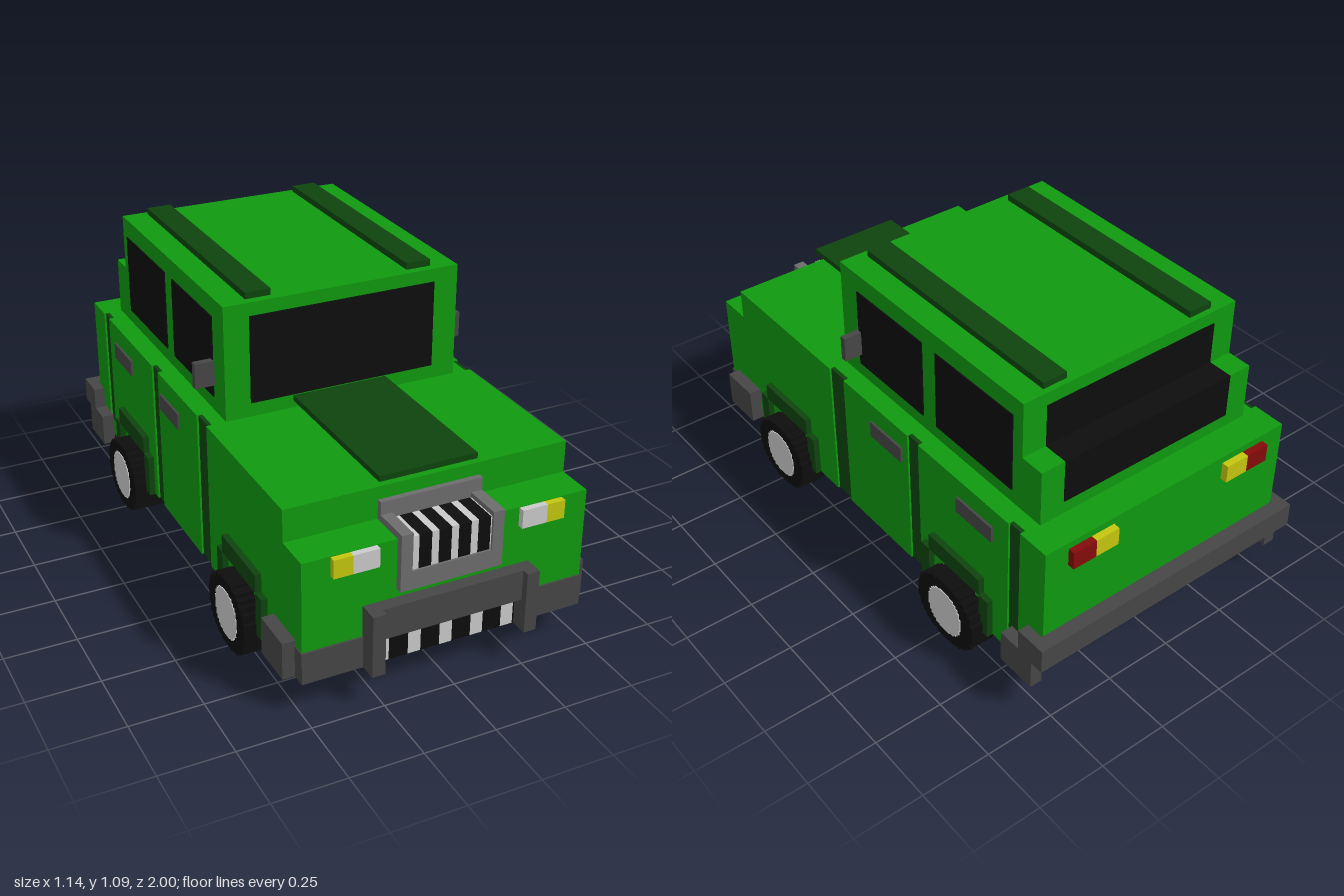
import * as THREE from 'three';

const mat = (name, color) => Object.assign(new THREE.MeshStandardMaterial({ color }), { name });

export function createModel() {
  const car = new THREE.Group();
  car.name = 'offRoadCar';
  const green = mat('green paint', 0x10990f);
  const darkGreen = mat('dark green trim', 0x0d440d);
  const black = mat('black', 0x0d0d0d);
  const darkGrey = mat('dark grey', 0x464646);
  const grey = mat('grey', 0x6c6c6c);
  const white = mat('light grey', 0xcacaca);
  const yellow = mat('yellow', 0xc4c60e);
  const red = mat('red', 0x850a0a);

  const add = (name, geo, material) => {
    const m = new THREE.Mesh(geo, material);
    m.name = name;
    car.add(m);
    return m;
  };
  // Box from min/max ranges on each axis
  const box = (name, material, [x0, x1], [y0, y1], [z0, z1]) => {
    const g = new THREE.BoxGeometry(x1 - x0, y1 - y0, z1 - z0);
    g.translate((x0 + x1) / 2, (y0 + y1) / 2, (z0 + z1) / 2);
    return add(name, g, material);
  };
  // The same box on both sides of the car
  const pair = (name, material, [x0, x1], y, z) => {
    box(name + 'Left', material, [x0, x1], y, z);
    box(name + 'Right', material, [-x1, -x0], y, z);
  };
  // Outline in (z, y), extruded across x
  const across = (name, material, pts, x0, x1) => {
    const shape = new THREE.Shape(pts.map(p => new THREE.Vector2(p[0], p[1])));
    const g = new THREE.ExtrudeGeometry(shape, { depth: x1 - x0, bevelEnabled: false });
    g.rotateY(-Math.PI / 2);
    g.translate(x1, 0, 0);
    return add(name, g, material);
  };
  // Alternating light and black bars, starting and ending with light
  const stripes = (name, x0, x1, light, dark, y, z) => {
    let isLight = true;
    for (let x = x0; x < x1 - 0.004; isLight = !isLight) {
      const end = Math.min(x + (isLight ? light : dark), x1);
      box(name, isLight ? white : black, [x, end], y, z);
      x = end;
    }
  };

  // Body core, with side panels separated by dark grooves
  across('bodyCore', green, [[-0.88, 0.12], [0.93, 0.12], [0.93, 0.547], [0.8, 0.547],
    [0.8, 0.66], [-0.95, 0.66], [-0.95, 0.21], [-0.88, 0.21]], -0.48, 0.48);
  for (const [a, b] of [[0.48, 0.5], [-0.5, -0.48]]) {
    across('frontWing', green, [[0.205, 0.12], [0.93, 0.12], [0.93, 0.547],
      [0.8, 0.547], [0.8, 0.66], [0.205, 0.66]], a, b);
  }
  pair('frontDoor', green, [0.48, 0.5], [0.12, 0.66], [-0.25, 0.12]);
  pair('rearDoor', green, [0.48, 0.5], [0.12, 0.66], [-0.775, -0.31]);
  pair('rearQuarter', green, [0.48, 0.5], [0.21, 0.66], [-0.95, -0.83]);
  for (const [z0, z1, y0] of [[0.12, 0.205, 0.12], [-0.31, -0.25, 0.12], [-0.83, -0.775, 0.21]]) {
    pair('doorSeam', darkGreen, [0.478, 0.493], [y0, 0.658], [z0, z1]);
  }
  pair('frontHandle', darkGrey, [0.5, 0.508], [0.53, 0.59], [-0.22, -0.045]);
  pair('rearHandle', darkGrey, [0.5, 0.508], [0.53, 0.59], [-0.70, -0.52]);

  // Cabin with a stepped rear
  across('cabin', green, [[0.205, 0.66], [0.205, 1.067], [-0.75, 1.067], [-0.75, 0.865],
    [-0.84, 0.865], [-0.84, 0.66]], -0.43, 0.43);
  pair('roofRail', darkGreen, [0.25, 0.34], [1.067, 1.09], [-0.73, 0.175]);
  box('bonnetPanel', darkGreen, [-0.185, 0.16], [0.685, 0.705], [0.205, 0.815]);

  // Windows
  box('windscreen', black, [-0.34, 0.34], [0.71, 1.02], [0.203, 0.209]);
  pair('frontWindow', black, [0.428, 0.434], [0.71, 1.0], [-0.25, 0.11]);
  pair('rearSideWindow', black, [0.428, 0.434], [0.71, 1.0], [-0.705, -0.32]);
  box('rearWindowUpper', black, [-0.34, 0.34], [0.865, 1.02], [-0.754, -0.748]);
  box('rearWindowStep', black, [-0.34, 0.34], [0.863, 0.869], [-0.844, -0.75]);
  box('rearWindowLower', black, [-0.34, 0.34], [0.71, 0.867], [-0.845, -0.838]);
  pair('mirror', darkGrey, [0.43, 0.5], [0.755, 0.845], [0.095, 0.118]);

  // Grille
  pair('grilleSide', grey, [0.14, 0.18], [0.37, 0.57], [0.8, 0.955]);
  box('grilleBottom', grey, [-0.14, 0.14], [0.37, 0.435], [0.92, 0.955]);
  box('grilleBack', grey, [-0.18, 0.18], [0.545, 0.615], [0.8, 0.82]);
  stripes('grilleBar', -0.14, 0.14, 0.025, 0.044, [0.435, 0.553], [0.82, 0.947]);

  // Lights
  pair('headlight', white, [0.25, 0.34], [0.48, 0.545], [0.93, 0.952]);
  pair('frontIndicator', yellow, [0.34, 0.405], [0.48, 0.545], [0.93, 0.952]);
  pair('tailIndicator', yellow, [0.23, 0.32], [0.57, 0.635], [-0.975, -0.95]);
  pair('tailLight', red, [0.32, 0.41], [0.57, 0.635], [-0.975, -0.95]);

  // Front bumper
  box('frontBumperBar', darkGrey, [-0.25, 0.25], [0.23, 0.34], [0.93, 0.975]);
  pair('bumperGuard', darkGrey, [0.25, 0.295], [0.12, 0.34], [0.93, 1.0]);
  pair('frontBumperWing', darkGrey, [0.295, 0.503], [0.118, 0.23], [0.885, 0.937]);
  pair('frontBumperEnd', darkGrey, [0.495, 0.545], [0.118, 0.25], [0.73, 0.887]);
  stripes('lowerGrilleBar', -0.25, 0.25, 0.045, 0.0675, [0.12, 0.23], [0.929, 0.937]);

  // Rear bumper and lower vent
  box('rearBumperBar', darkGrey, [-0.545, 0.545], [0.23, 0.32], [-1.0, -0.95]);
  pair('rearBumperSide', darkGrey, [0.505, 0.545], [0.23, 0.32], [-0.95, -0.885]);
  pair('rearBumperEnd', darkGrey, [0.5, 0.545], [0.12, 0.24], [-0.95, -0.8]);
  box('rearVentFrame', grey, [-0.23, 0.23], [0.12, 0.205], [-0.92, -0.88]);
  stripes('rearVentBar', -0.14, 0.14, 0.025, 0.044, [0.14, 0.185], [-0.925, -0.919]);

  // Wheels with a stepped outline, and their arches
  const q = [[1, 0.3], [0.93, 0.3], [0.93, 0.55], [0.82, 0.55], [0.82, 0.7], [0.7, 0.7],
    [0.7, 0.82], [0.55, 0.82], [0.55, 0.93], [0.3, 0.93], [0.3, 1]];
  const r = [...q].reverse();
  const ring = [...q, ...r.map(([a, b]) => [-a, b]), ...q.map(([a, b]) => [-a, -b]),
    ...r.map(([a, b]) => [a, -b])];
  const disc = (z, rz, ry) => ring.map(([a, b]) => [z + a * rz, 0.125 + b * ry]);
  for (const z of [0.493, -0.528]) {
    for (const [t0, t1, h0, h1] of [[0.43, 0.565, 0.56, 0.568], [-0.565, -0.43, -0.568, -0.56]]) {
      across('tyre', black, disc(z, 0.147, 0.125), t0, t1);
      across('hub', white, disc(z, 0.086, 0.086), h0, h1);
    }
    const c = z + 0.007;
    pair('archTop', darkGreen, [0.5, 0.522], [0.275, 0.34], [c - 0.135, c + 0.135]);
    pair('archFront', darkGreen, [0.5, 0.522], [0.12, 0.275], [c + 0.135, c + 0.18]);
    pair('archRear', darkGreen, [0.5, 0.522], [0.12, 0.275], [c - 0.18, c - 0.135]);
  }
  return car;
}
